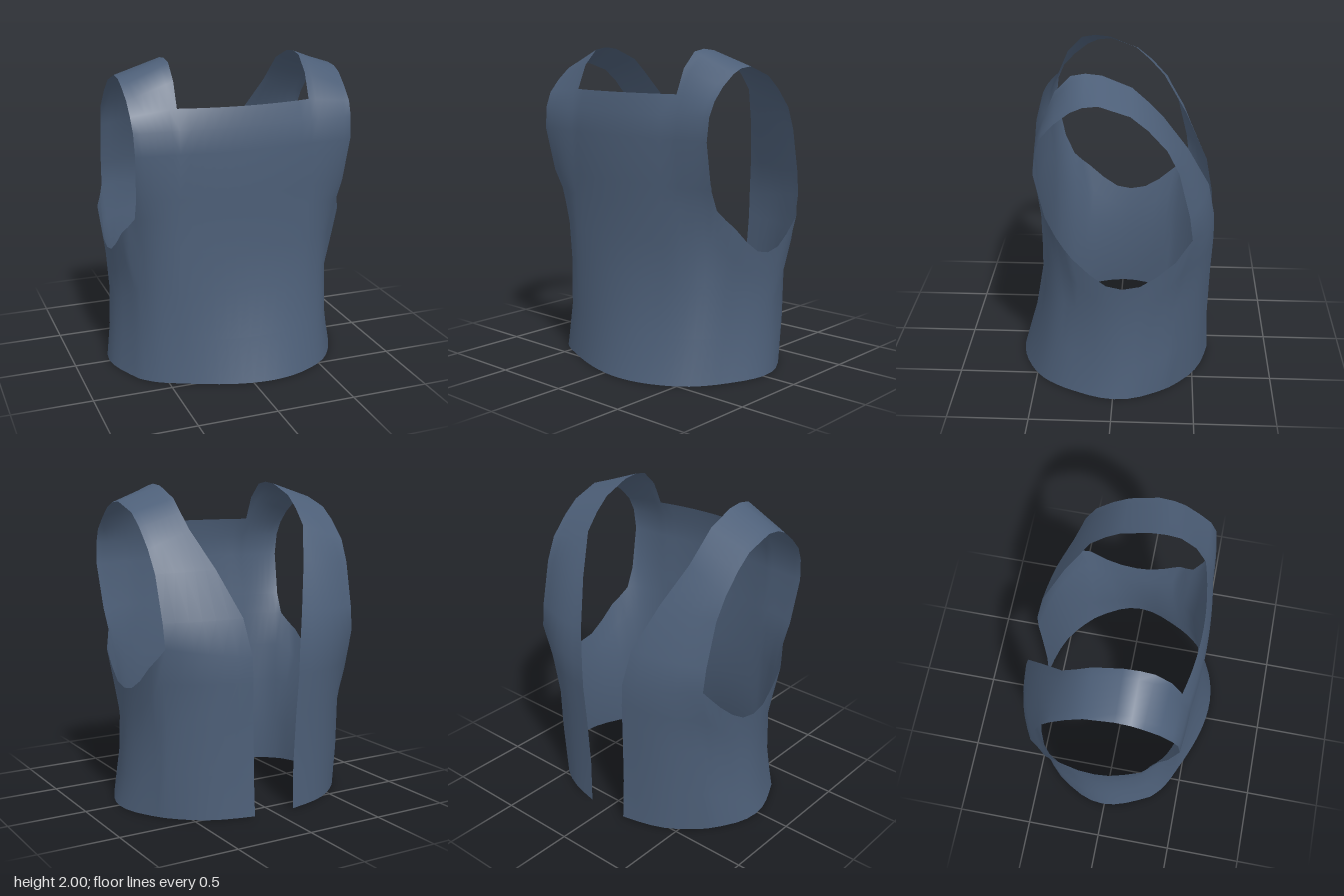
import * as THREE from 'three';
import { mergeGeometries, mergeVertices } from 'three/addons/utils/BufferGeometryUtils.js';

const lerp = THREE.MathUtils.lerp;

// The front hem hangs a little unevenly, fuller on the left
function hemSway(x, y, z) {
  if (z < 0 || y >= 0.6 || Math.abs(x) >= 0.66) return 0;
  return 0.15 * x * (1 - (x / 0.66) ** 2) * (1 - y / 0.6);
}

// Surface through rows of points; rows run upward, columns run rightward seen from outside
function sheet(rows, flip = false) {
  const n = rows[0].length, index = [];
  for (let r = 0; r < rows.length - 1; r++) {
    for (let c = 0; c < n - 1; c++) {
      const a = r * n + c, b = a + 1, d = a + n, e = d + 1;
      index.push(...(flip ? [a, e, b, a, d, e] : [a, b, e, a, e, d]));
    }
  }
  const points = rows.flat().flatMap(([px, y, z]) => {
    const x = flip ? -px : px;
    return [x, y, z + hemSway(x, y, z)];
  });
  const g = new THREE.BufferGeometry();
  g.setAttribute('position', new THREE.Float32BufferAttribute(points, 3));
  g.setIndex(index);
  return g;
}

// Piecewise linear lookup in [key, value] pairs
function lookup(table, k) {
  let i = 1;
  while (i < table.length - 1 && table[i][0] < k) i++;
  const [a, b] = [table[i - 1], table[i]];
  return lerp(a[1], b[1], THREE.MathUtils.clamp((k - a[0]) / (b[0] - a[0]), 0, 1));
}

// Strip stations: inner edge x, y, z, outer edge x, y, z, outward bulge
const FRONT = [
  [0.42, 0, 0.51, 0.66, 0, 0.315, 0.025],
  [0.42, 0.28, 0.46, 0.635, 0.28, 0.28, 0.03],
  [0.42, 0.6, 0.44, 0.63, 0.6, 0.27, 0.03],
  [0.42, 0.85, 0.445, 0.645, 0.85, 0.295, 0.025],
  [0.42, 1.07, 0.45, 0.67, 1.07, 0.34, 0.02],
  [0.42, 1.2, 0.46, 0.675, 1.2, 0.40, 0.015],
  [0.42, 1.48, 0.48, 0.69, 1.48, 0.46, 0.005],
  [0.42, 1.62, 0.465, 0.695, 1.62, 0.445, 0.005],
  [0.42, 1.74, 0.415, 0.70, 1.71, 0.405, 0.005],
];
const SHOULDER = [
  [0.42, 1.89, 0.35, 0.70, 1.79, 0.33, 0],
  [0.42, 1.985, 0.255, 0.705, 1.86, 0.24, 0],
  [0.42, 2.0, 0.17, 0.705, 1.89, 0.17, 0],
  [0.42, 1.99, 0.075, 0.705, 1.9, 0.08, 0],
  [0.42, 1.92, -0.10, 0.70, 1.84, -0.10, 0],
  [0.42, 1.84, -0.19, 0.70, 1.76, -0.20, 0],
];
const BACK = [
  [0.41, 1.74, -0.285, 0.70, 1.64, -0.31, 0.005],
  [0.315, 1.51, -0.435, 0.69, 1.5, -0.38, 0.015],
  [0.21, 1.23, -0.575, 0.68, 1.22, -0.45, 0.025],
  [0.17, 1.0, -0.618, 0.675, 1.07, -0.47, 0.035],
  [0.165, 0.85, -0.62, 0.66, 0.85, -0.42, 0.045],
  [0.155, 0.6, -0.607, 0.63, 0.6, -0.39, 0.05],
  [0.145, 0.28, -0.597, 0.63, 0.28, -0.38, 0.05],
  [0.14, 0, -0.605, 0.63, 0, -0.35, 0.055],
];

// Panel and shoulder strap, from the front hem over the shoulder to the back hem
function stripRows() {
  const steps = 6;
  return [...FRONT, ...SHOULDER, ...BACK].map(([x0, y0, z0, x1, y1, z1, bulge]) => {
    const mx = (x0 + x1) / 2, mz = (z0 + z1) / 2, len = Math.hypot(mx, mz);
    return Array.from({ length: steps + 1 }, (_, i) => {
      const t = i / steps, out = i % steps ? bulge * Math.sin(Math.PI * t) / len : 0;
      return [lerp(x0, x1, t) + mx * out, lerp(y0, y1, t), lerp(z0, z1, t) + mz * out];
    });
  });
}

// Side under the arm: round at the hem, squarer near the armhole that dips into its top
function sideRows() {
  const armhole = [[0, 1.07], [0.06, 1.01], [0.12, 0.96], [0.25, 0.86], [0.37, 0.79], [0.49, 0.77],
    [0.62, 0.79], [0.74, 0.85], [0.88, 0.95], [0.94, 1.01], [1, 1.07]];
  const width = [[0, 0.773], [0.28, 0.73], [0.6, 0.73], [0.78, 0.75], [0.95, 0.745], [1.07, 0.675]];
  const squareness = [[0.6, 1], [0.95, 0.2]];
  return FRONT.slice(0, 5).map((f, k) => {
    const b = BACK[BACK.length - 1 - k];
    return armhole.map(([t, top]) => {
      const y = f[4] * top / 1.07, edge = lerp(f[3], b[3], t);
      const round = t % 1 ? Math.sin(Math.PI * t) ** lookup(squareness, y) : 0;
      return [edge + (lookup(width, y) - edge) * round, y, lerp(f[5], b[5], t)];
    });
  });
}

// Chest between the straps
function chestRows() {
  const depth = [0.105, 0.08, 0.05, 0.04, 0.04, 0.04, 0.032, 0.035, 0.055];
  return FRONT.map(([w, y, z], k) => Array.from({ length: 13 }, (_, i) => {
    const s = i / 6 - 1;
    return [s * w, y, z + (1 - s * s) * depth[k]];
  }));
}

export function createModel() {
  const group = new THREE.Group();
  group.name = 'vest';
  const cloth = new THREE.MeshStandardMaterial({ color: 0x4d5f78, side: THREE.DoubleSide });
  cloth.name = 'slate blue cloth';

  const parts = [sheet(chestRows())];
  for (const flip of [false, true]) parts.push(sheet(stripRows(), flip), sheet(sideRows(), flip));

  // Weld the panels so the shading runs smoothly across the seams
  const geometry = mergeVertices(mergeGeometries(parts), 1e-4);
  geometry.computeVertexNormals();
  const shell = new THREE.Mesh(geometry, cloth);
  shell.name = 'vestShell';
  group.add(shell);
  return group;
}
